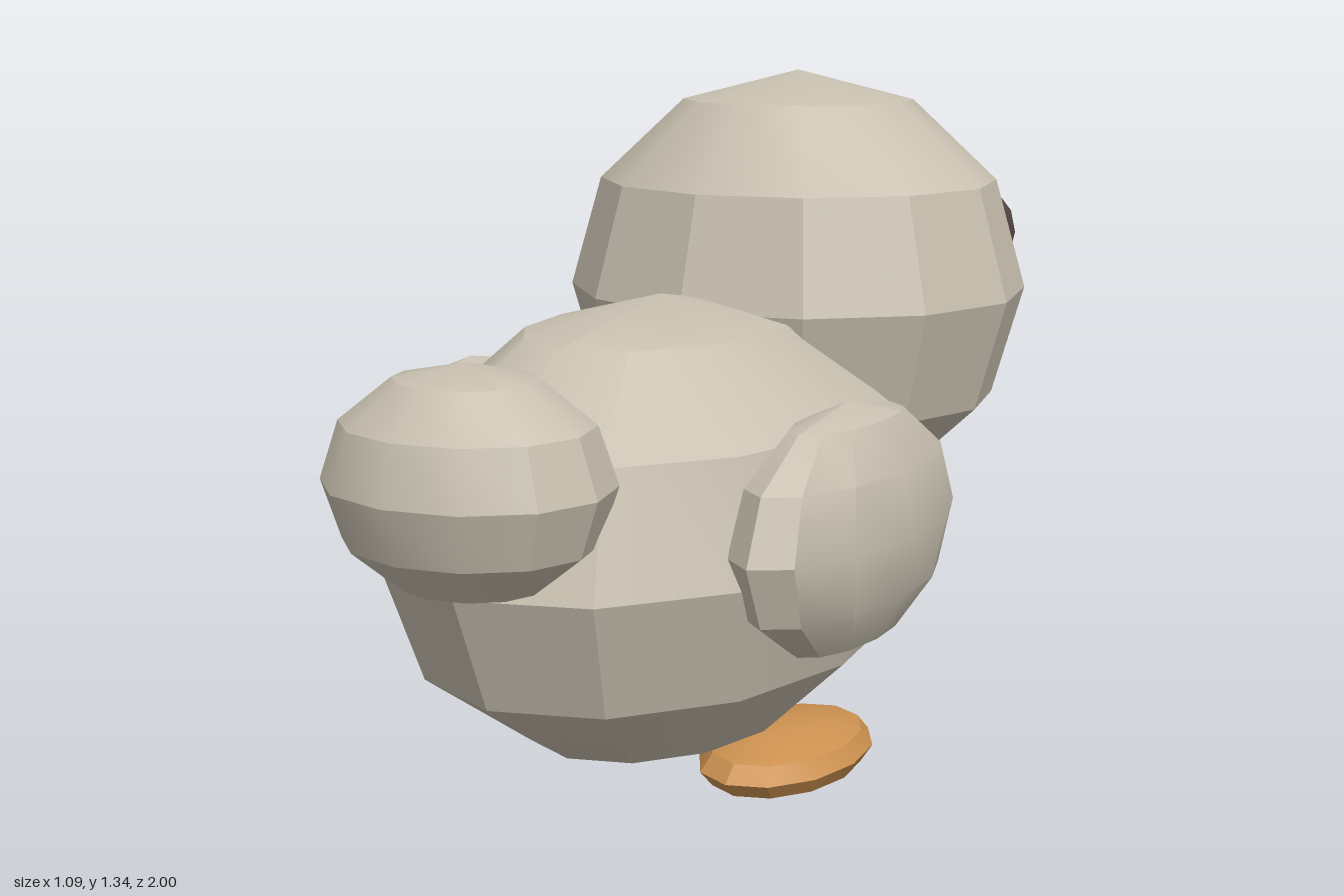
import * as THREE from 'three';
import { toCreasedNormals } from 'three/addons/utils/BufferGeometryUtils.js';

const flat = (name, color) => {
  const m = new THREE.MeshStandardMaterial({ color });
  m.name = name;
  return m;
};

// Low-poly ellipsoid: soft near the poles, creased around the equator
function ellipsoid(name, material, [rx, ry, rz], [x, y, z]) {
  const geometry = new THREE.SphereGeometry(1, 12, 6).scale(rx, ry, rz);
  const mesh = new THREE.Mesh(toCreasedNormals(geometry, THREE.MathUtils.degToRad(27)), material);
  mesh.name = name;
  mesh.position.set(x, y, z);
  return mesh;
}

export function createModel() {
  const duck = new THREE.Group();
  duck.name = 'duckling';

  const down = flat('pale grey down', 0xc8c0b0);
  const orange = flat('orange', 0xcc9150);
  const dark = flat('dark brown', 0x4d3f3e);

  // Body, head, tail and bill along the centre line; the bill points to -z
  duck.add(
    ellipsoid('body', down, [0.45, 0.43, 0.62], [0, 0.53, 0.21]),
    ellipsoid('head', down, [0.465, 0.43, 0.435], [0, 0.915, -0.285]),
    ellipsoid('tail', down, [0.26, 0.2, 0.22], [0, 0.72, 0.78]),
    ellipsoid('bill', orange, [0.255, 0.1, 0.25], [0, 0.81, -0.75]),
  );

  // Paired parts; the duckling looks along -z, so its own left is -x
  for (const [side, s] of [['left', -1], ['right', 1]]) {
    duck.add(
      ellipsoid(side + 'Wing', down, [0.13, 0.225, 0.335], [s * 0.415, 0.585, 0.25]),
      ellipsoid(side + 'Foot', orange, [0.148, 0.063, 0.222], [s * 0.187, 0.068, 0.063]),
      ellipsoid(side + 'Eye', dark, [0.076, 0.09, 0.05], [s * 0.233, 1.0, -0.653]),
    );
  }
  return duck;
}
